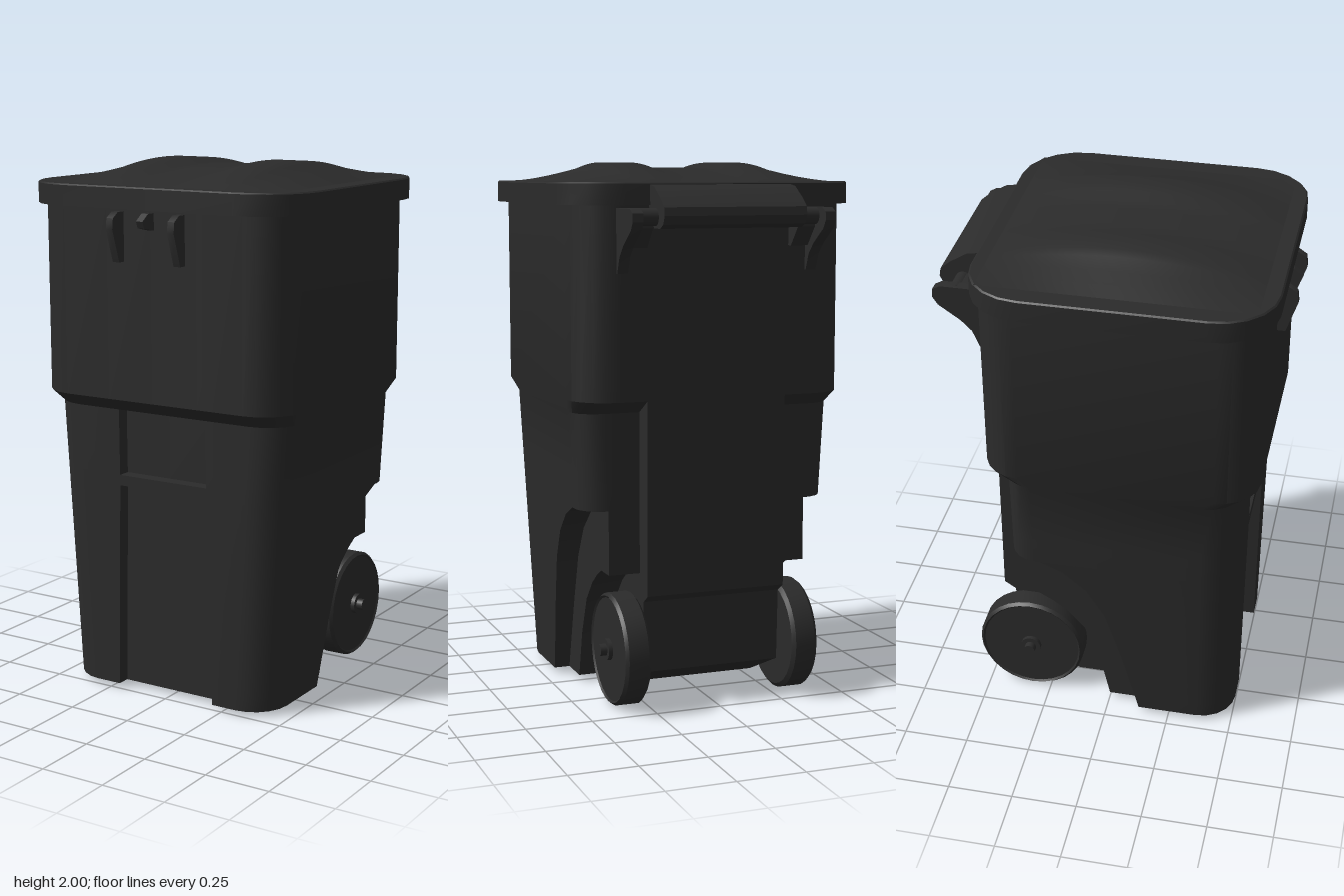
import * as THREE from 'three';
import { toCreasedNormals } from 'three/addons/utils/BufferGeometryUtils.js';

const plastic = new THREE.MeshStandardMaterial({ color: 0x2b2b2b });

function part(name, geometry, parent) {
  const mesh = new THREE.Mesh(geometry, plastic);
  mesh.name = name;
  parent.add(mesh);
  return mesh;
}

// Piecewise linear lookup in [[key, value], ...]
function lookup(table, t) {
  if (t <= table[0][0]) return table[0][1];
  for (let i = 1; i < table.length; i++) {
    const [a, va] = table[i - 1], [b, vb] = table[i];
    if (t <= b) return va + (vb - va) * (t - a) / (b - a);
  }
  return table[table.length - 1][1];
}

// Skin a stack of { y, pts: [[x, z], ...] } rings and close both ends
function loft(rings) {
  const pos = [];
  const tri = (a, b, c) => {
    const u = b.clone().sub(a), v = c.clone().sub(a);
    if (u.cross(v).length() > 1e-9) for (const p of [a, b, c]) pos.push(p.x, p.y, p.z);
  };
  const vs = rings.map(r => r.pts.map(([x, z]) => new THREE.Vector3(x, r.y, z)));
  const n = vs[0].length;
  for (let k = 1; k < vs.length; k++) {
    const lo = vs[k - 1], hi = vs[k];
    for (let i = 0; i < n; i++) {
      const j = (i + 1) % n;
      tri(lo[i], lo[j], hi[j]);
      tri(lo[i], hi[j], hi[i]);
    }
  }
  for (const top of [false, true]) {
    const ring = top ? vs[vs.length - 1] : vs[0];
    const flat = ring.map(p => new THREE.Vector2(p.x, -p.z));
    for (const [a, b, c] of THREE.ShapeUtils.triangulateShape(flat, [])) {
      if (top) tri(ring[a], ring[b], ring[c]);
      else tri(ring[a], ring[c], ring[b]);
    }
  }
  const g = new THREE.BufferGeometry();
  g.setAttribute('position', new THREE.Float32BufferAttribute(pos, 3));
  return toCreasedNormals(g, 0.55);
}

// Corner arc from angle a0 (0 = +z, 90 degrees = +x), quarter turn
function arc(cx, cz, r, a0, steps = 5) {
  return Array.from({ length: steps + 1 }, (_, i) => {
    const a = a0 + (Math.PI / 2) * i / steps;
    return [cx + r * Math.sin(a), cz + r * Math.cos(a)];
  });
}

// Mirror a half outline that starts and ends on x = 0
const mirror = half => [...half, ...half.slice(1, -1).reverse().map(([x, z]) => [-x, z])];

// Side profile [z, y] extruded across x
function slab(profile, x, width) {
  const shape = new THREE.Shape(profile.map(p => new THREE.Vector2(...p)));
  const g = new THREE.ExtrudeGeometry(shape, { depth: width, bevelEnabled: false });
  g.rotateY(-Math.PI / 2).translate(x + width / 2, 0, 0);
  return toCreasedNormals(g, 0.6);
}

function rod(r, length, x, y, z, sides = 20) {
  const g = new THREE.CylinderGeometry(r, r, length, sides);
  return g.rotateZ(Math.PI / 2).translate(x, y, z);
}

// Front edges of the two stepped wheel arches and the back panel, by height
const OUTER_ARCH = [[0.02, 0.13], [0.3, 0.06], [0.5, 0], [0.62, -0.07], [0.7, -0.16], [0.74, -0.25]];
const INNER_ARCH = [[0.02, 0], [0.2, -0.04], [0.35, -0.1], [0.45, -0.19], [0.5, -0.28]];
const BACK = [[0.02, -0.15], [0.13, -0.4], [0.4, -0.41], [0.43, -0.455]];

function lowerRing(y, recess, outer, inner) {
  const t = (y - 0.02) / 1.08;
  const X = 0.45 + 0.06 * t, zf = 0.5 + 0.007 * t;
  const w = lookup([[0.02, 0.21], [0.81, 0.19]], y);
  const zo = outer ? lookup(OUTER_ARCH, y) : -0.37;
  const zi = inner ? lookup(INNER_ARCH, y) : -0.37;
  const rb = outer ? 0 : 0.1, xi = outer ? 0.39 : 0.36;
  return {
    y, pts: mirror([
      [0, zf - recess], [w, zf - recess], [w, zf],
      ...arc(X - 0.14, zf - 0.14, 0.14, 0),
      ...arc(X - rb, zo + rb, rb, Math.PI / 2),
      [xi, zo], [xi, zi], [0.27, zi], [0.27, lookup(BACK, y)], [0, lookup(BACK, y)],
    ]),
  };
}

function upperRing(y) {
  return {
    y, pts: mirror([
      [0, 0.565], [0.19, 0.565], [0.19, 0.565],
      ...arc(0.38, 0.415, 0.15, 0),
      ...arc(0.38, -0.307, 0.15, Math.PI / 2),
      [0.36, -0.457], [0.36, -0.457], [0.27, -0.457], [0.27, -0.457], [0, -0.457],
    ]),
  };
}

function lidRing(y, inset) {
  const X = 0.58 - inset, f = 0.6 - inset, b = -0.49 + inset, r = 0.22 - inset;
  return {
    y, pts: mirror([[0, f], ...arc(X - r, f - r, r, 0), ...arc(X - r, b + r, r, Math.PI / 2), [0, b]]),
  };
}

// Domed lid top with two raised bands running front to back
function lidDome() {
  const half = [0, 0.06, 0.12, 0.16, 0.22, 0.28, 0.31, 0.38, 0.44, 0.5];
  const xs = [...half.slice(1).reverse().map(x => -x), ...half];
  const across = [[0, 0.72], [0.12, 0.72], [0.16, 1], [0.28, 1], [0.31, 0.8], [0.5, 0]];
  const rows = 20;
  const g = new THREE.PlaneGeometry(1, 1, xs.length - 1, rows).rotateX(-Math.PI / 2);
  const p = g.attributes.position;
  for (let i = 0; i < p.count; i++) {
    const x = xs[i % xs.length];
    const s = Math.floor(i / xs.length) / rows * 2 - 1;
    p.setXYZ(i, x, 1.93 + 0.07 * lookup(across, Math.abs(x)) * (1 - s * s), 0.05 + 0.49 * s);
  }
  g.computeVertexNormals();
  return g;
}

function wheel(side) {
  const group = new THREE.Group();
  group.name = side > 0 ? 'leftWheel' : 'rightWheel';
  const profile = [[0, -0.05], [0.195, -0.05], [0.21, -0.038], [0.21, 0.038], [0.2, 0.05], [0.193, 0.044], [0, 0.044]];
  const tyre = new THREE.LatheGeometry(profile.map(p => new THREE.Vector2(...p)), 28);
  tyre.rotateZ(-side * Math.PI / 2);
  part('tyre', toCreasedNormals(tyre, 0.5), group);
  part('hub', rod(0.04, 0.02, side * 0.05, 0, 0), group);
  part('axleCap', rod(0.022, 0.05, side * 0.06, 0, 0), group);
  group.position.set(side * 0.33, 0.21, -0.325);
  return group;
}

export function createModel() {
  const model = new THREE.Group();
  model.name = 'wheeledBin';

  // Body: tapered lower part with front recesses and wheel arches, wider top
  const d = 0.05;
  const rings = [
    ...[0.02, 0.08, 0.13, 0.2, 0.28, 0.35, 0.4, 0.43, 0.47, 0.5].map(y => lowerRing(y, d, true, true)),
    ...[0.5, 0.56, 0.62, 0.66, 0.7, 0.72, 0.74].map(y => lowerRing(y, d, true, false)),
    ...[[0.74, d], [0.81, d], [0.81, 0], [0.85, 0], [0.85, d], [1.1, d], [1.1, 0]]
      .map(([y, r]) => lowerRing(y, r, false, false)),
    upperRing(1.15), upperRing(1.86),
  ];
  part('body', loft(rings), model);

  // Lid
  const lid = new THREE.Group();
  lid.name = 'lid';
  model.add(lid);
  part('lidRim', loft([lidRing(1.85, 0), lidRing(1.925, 0), lidRing(1.93, 0.006)]), lid);
  part('lidTop', lidDome(), lid);
  part('lidHandle', slab([[-0.47, 1.925], [-0.53, 1.915], [-0.595, 1.875], [-0.63, 1.845], [-0.635, 1.815],
    [-0.62, 1.785], [-0.59, 1.77], [-0.53, 1.77], [-0.5, 1.8], [-0.47, 1.86]], 0, 0.54), lid);

  // Front catch ribs
  for (const x of [-0.13, 0.13]) {
    part('catchRib', slab([[0.55, 1.84], [0.6, 1.84], [0.63, 1.82], [0.635, 1.78], [0.595, 1.66], [0.55, 1.66]], x, 0.028), model);
  }
  part('centreCatch', slab([[0.55, 1.84], [0.6, 1.84], [0.635, 1.815], [0.625, 1.79], [0.55, 1.775]], 0, 0.028), model);

  // Hinge pin and brackets
  part('hingePin', rod(0.031, 0.74, 0, 1.81, -0.546), model);
  for (const s of [-1, 1]) {
    part('hingeBracket', slab([[-0.44, 1.84], [-0.6, 1.84], [-0.628, 1.825], [-0.63, 1.795], [-0.61, 1.765],
      [-0.53, 1.71], [-0.49, 1.67], [-0.465, 1.61], [-0.44, 1.61]], s * 0.365, 0.04), model);
    part('hingeLug', slab([[-0.44, 1.84], [-0.53, 1.84], [-0.543, 1.825], [-0.54, 1.77], [-0.48, 1.7], [-0.44, 1.7]],
      s * 0.312, 0.068), model);
    model.add(wheel(s));
  }
  part('axle', rod(0.02, 0.7, 0, 0.21, -0.325), model);
  return model;
}
